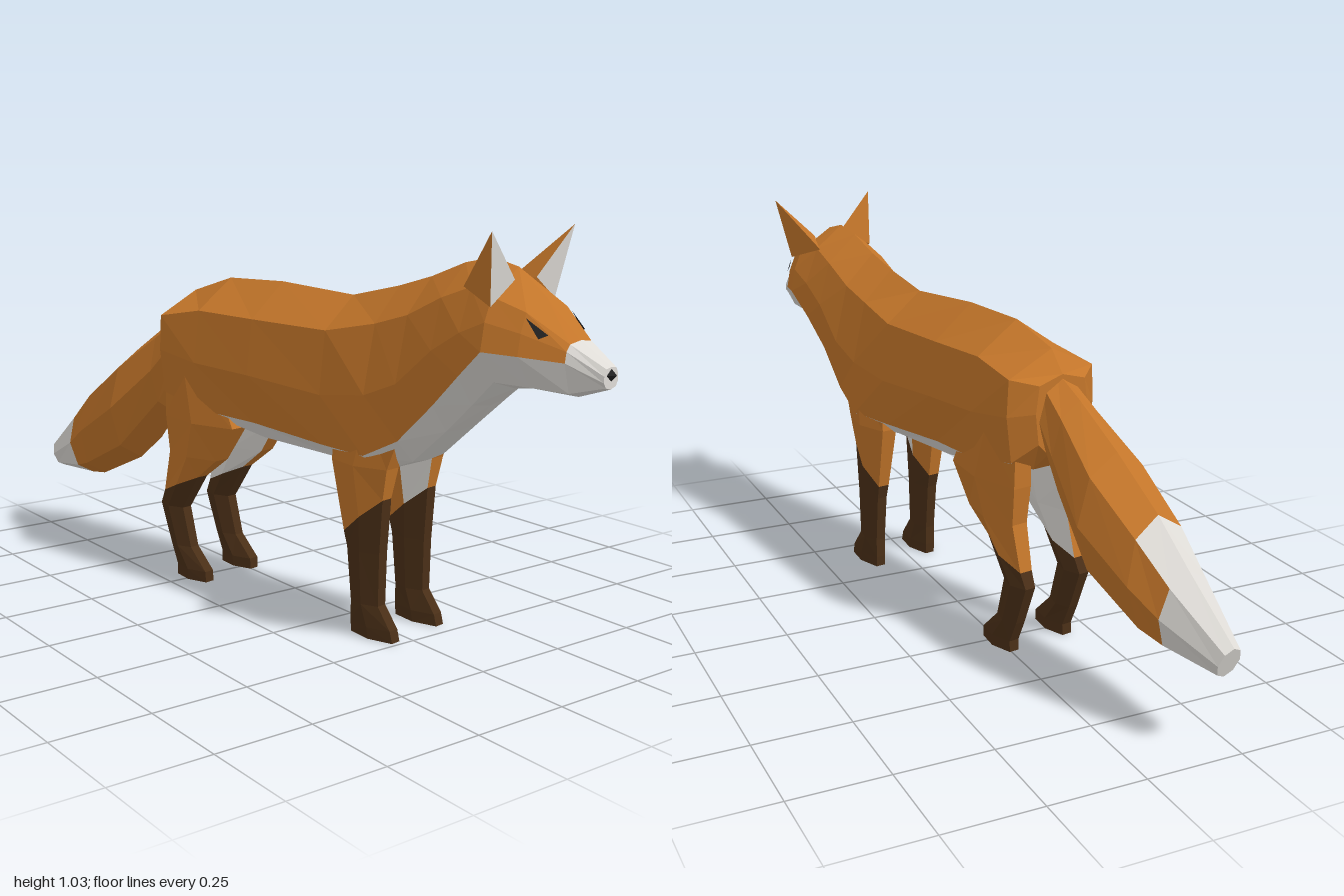
import * as THREE from 'three';

const mat = (color, side = THREE.FrontSide) =>
  new THREE.MeshStandardMaterial({ color, flatShading: true, side });
const V = (x, y, z) => new THREE.Vector3(x, y, z);

// Flat shaded mesh from a list of triangles
function triMesh(name, tris, material) {
  const g = new THREE.BufferGeometry().setFromPoints(tris.flat());
  g.computeVertexNormals();
  const m = new THREE.Mesh(g, material);
  m.name = name;
  return m;
}

// Closed loft through equal rings; paint(i, j) picks the material of each panel
function loft(name, rings, paint) {
  const group = new THREE.Group();
  group.name = name;
  const byMat = new Map();
  const add = (m, ...t) => byMat.set(m, [...(byMat.get(m) || []), t]);
  const n = rings[0].length, last = rings.length - 1;
  for (let i = 0; i < last; i++) {
    for (let j = 0; j < n; j++) {
      const k = (j + 1) % n, m = paint(i, j);
      const a = rings[i][j], b = rings[i][k], c = rings[i + 1][k], d = rings[i + 1][j];
      // split mirrored panels in mirrored directions
      if (j < n / 2) { add(m, a, b, c); add(m, a, c, d); }
      else { add(m, a, b, d); add(m, b, c, d); }
    }
  }
  for (let j = 1; j < n - 1; j++) {
    add(paint(0, j), rings[0][0], rings[0][j + 1], rings[0][j]);
    add(paint(last - 1, j), rings[last][0], rings[last][j], rings[last][j + 1]);
  }
  // make all panels face outwards
  let vol = 0;
  for (const ts of byMat.values()) for (const [a, b, c] of ts) vol += a.dot(b.clone().cross(c));
  for (const [m, ts] of byMat) {
    if (vol < 0) ts.forEach((t) => t.reverse());
    group.add(triMesh(name + 'Panel', ts, m));
  }
  return group;
}

export function createModel() {
  const orange = mat(0xc4762a), white = mat(0xdedbd6), dark = mat(0x4a2f17);
  const black = mat(0x222222, THREE.DoubleSide);
  const orange2 = mat(0xc4762a, THREE.DoubleSide), white2 = mat(0xdedbd6, THREE.DoubleSide);
  const fox = new THREE.Group();
  fox.name = 'fox';

  // Body, neck and head: z, spine y, shoulder x y, side x y, lower x y, belly x y, underside y
  const sections = [
    [-0.39, 0.75, 0.07, 0.73, 0.08, 0.66, 0.07, 0.58, 0.04, 0.55, 0.55],
    [-0.345, 0.805, 0.13, 0.745, 0.135, 0.65, 0.12, 0.53, 0.05, 0.5, 0.5],
    [-0.2, 0.85, 0.12, 0.77, 0.14, 0.63, 0.125, 0.5, 0.06, 0.47, 0.47],
    [0, 0.855, 0.115, 0.765, 0.135, 0.62, 0.11, 0.49, 0.07, 0.445, 0.44],
    [0.25, 0.84, 0.105, 0.76, 0.125, 0.6, 0.11, 0.47, 0.07, 0.435, 0.43],
    [0.4, 0.875, 0.09, 0.79, 0.13, 0.62, 0.13, 0.47, 0.07, 0.42, 0.42],
    [0.5, 0.905, 0.09, 0.82, 0.13, 0.66, 0.12, 0.52, 0.06, 0.46, 0.455],
    [0.6, 0.945, 0.09, 0.87, 0.125, 0.75, 0.115, 0.62, 0.06, 0.55, 0.545],
    [0.68, 0.962, 0.085, 0.9, 0.125, 0.8, 0.125, 0.7, 0.07, 0.625, 0.615],
    [0.75, 0.945, 0.1, 0.885, 0.125, 0.83, 0.138, 0.765, 0.085, 0.69, 0.665],
    [0.83, 0.88, 0.08, 0.855, 0.1, 0.81, 0.11, 0.76, 0.06, 0.685, 0.675],
    [0.92, 0.795, 0.042, 0.79, 0.055, 0.775, 0.06, 0.75, 0.04, 0.68, 0.668],
    [1.0, 0.745, 0.02, 0.742, 0.028, 0.727, 0.028, 0.712, 0.02, 0.7, 0.695],
  ];
  const bodyRings = sections.map(([z, top, ...p]) => {
    const half = [0, 2, 4, 6].map((i) => V(p[i], p[i + 1], z));
    const other = half.map((v) => V(-v.x, v.y, z)).reverse();
    return [V(0, top, z), ...half, V(0, p[8], z), ...other];
  });
  fox.add(loft('body', bodyRings, (i, j) => {
    const band = Math.min(j, 9 - j);
    return (i > 0 && band >= 3) || i === 11 ? white : orange;
  }));

  // Legs: y, centre z, half width, half depth, forward tilt
  const frontLeg = [
    [0.57, 0.4, 0.035, 0.11, 0],
    [0.44, 0.37, 0.045, 0.09, 0],
    [0.31, 0.38, 0.033, 0.063, 0.05],
    [0.22, 0.38, 0.03, 0.053, 0],
    [0.085, 0.385, 0.028, 0.045, 0],
    [0.03, 0.405, 0.029, 0.065, 0],
    [0, 0.41, 0.028, 0.068, 0],
  ];
  const hindLeg = [
    [0.6, -0.25, 0.045, 0.1, 0],
    [0.46, -0.215, 0.052, 0.135, 0],
    [0.36, -0.245, 0.045, 0.095, 0],
    [0.27, -0.3, 0.036, 0.07, 0.03],
    [0.2, -0.343, 0.03, 0.046, 0],
    [0.09, -0.308, 0.028, 0.041, 0],
    [0.03, -0.265, 0.029, 0.058, 0],
    [0, -0.265, 0.028, 0.06, 0],
  ];
  const addLeg = (name, rows, side, sock, whitePanels) => {
    const rings = rows.map(([y, z, hx, hz, tilt]) => Array.from({ length: 6 }, (_, k) => {
      const a = k * Math.PI / 3, s = Math.sin(a) / Math.sin(Math.PI / 3);
      return V(side * (0.087 + hx * Math.cos(a)), y + tilt * s, z + hz * s);
    }));
    fox.add(loft(name, rings, (i, j) =>
      i >= sock ? dark : whitePanels.includes(j) ? white : orange));
  };

  // Ear corners and eye corners are mirrored
  for (const side of [1, -1]) {
    const tag = side > 0 ? 'left' : 'right';
    addLeg(tag + 'FrontLeg', frontLeg, side, 2, [2]);
    addLeg(tag + 'HindLeg', hindLeg, side, 3, [2, 3]);

    const tip = V(side * 0.16, 1.035, 0.79), inner = V(side * 0.042, 0.92, 0.77);
    const outer = V(side * 0.125, 0.865, 0.765), back = V(side * 0.085, 0.9, 0.66);
    fox.add(triMesh(tag + 'EarInside', [[tip, inner, outer]], white2));
    fox.add(triMesh(tag + 'EarBack', [[tip, inner, back], [tip, back, outer]], orange2));

    // Eye laid on the cheek panel between brow and muzzle
    const onCheek = ([u, v]) => {
      const [a, b] = [bodyRings[10], bodyRings[11]].map((r) => r[1].clone().lerp(r[2], v));
      const p = a.lerp(b, u).add(V(0.005, 0.004, 0.004));
      p.x *= side;
      return p;
    };
    fox.add(triMesh(tag + 'Eye', [[[0.02, 0.3], [0.55, 0.5], [0.38, 1.0]].map(onCheek)], black));
  }

  // Nose
  const nose = new THREE.Mesh(new THREE.OctahedronGeometry(1), black);
  nose.name = 'nose';
  nose.scale.set(0.021, 0.016, 0.016);
  nose.position.set(0, 0.727, 0.998);
  fox.add(nose);

  // Tail: top z y, bottom z y, half width
  const tailRings = [
    [-0.37, 0.75, -0.36, 0.58, 0.065],
    [-0.46, 0.7, -0.45, 0.44, 0.08],
    [-0.6, 0.61, -0.6, 0.28, 0.115],
    [-0.75, 0.5, -0.78, 0.2, 0.1],
    [-0.86, 0.4, -0.84, 0.193, 0.078],
    [-1.012, 0.27, -0.985, 0.19, 0.034],
  ].map(([tz, ty, bz, by, w]) => Array.from({ length: 8 }, (_, k) => {
    const a = k * Math.PI / 4, c = Math.cos(a) / 2;
    return V(w * Math.sin(a), (ty + by) / 2 + c * (ty - by), (tz + bz) / 2 + c * (tz - bz));
  }));
  fox.add(loft('tail', tailRings, (i, j) =>
    i === 4 || (i === 3 && (j === 0 || j === 7)) ? white : orange));

  // The animal stands turned slightly to its left
  fox.rotation.y = 0.17;
  fox.position.x = -0.04;
  const model = new THREE.Group();
  model.name = 'model';
  model.add(fox);
  return model;
}
